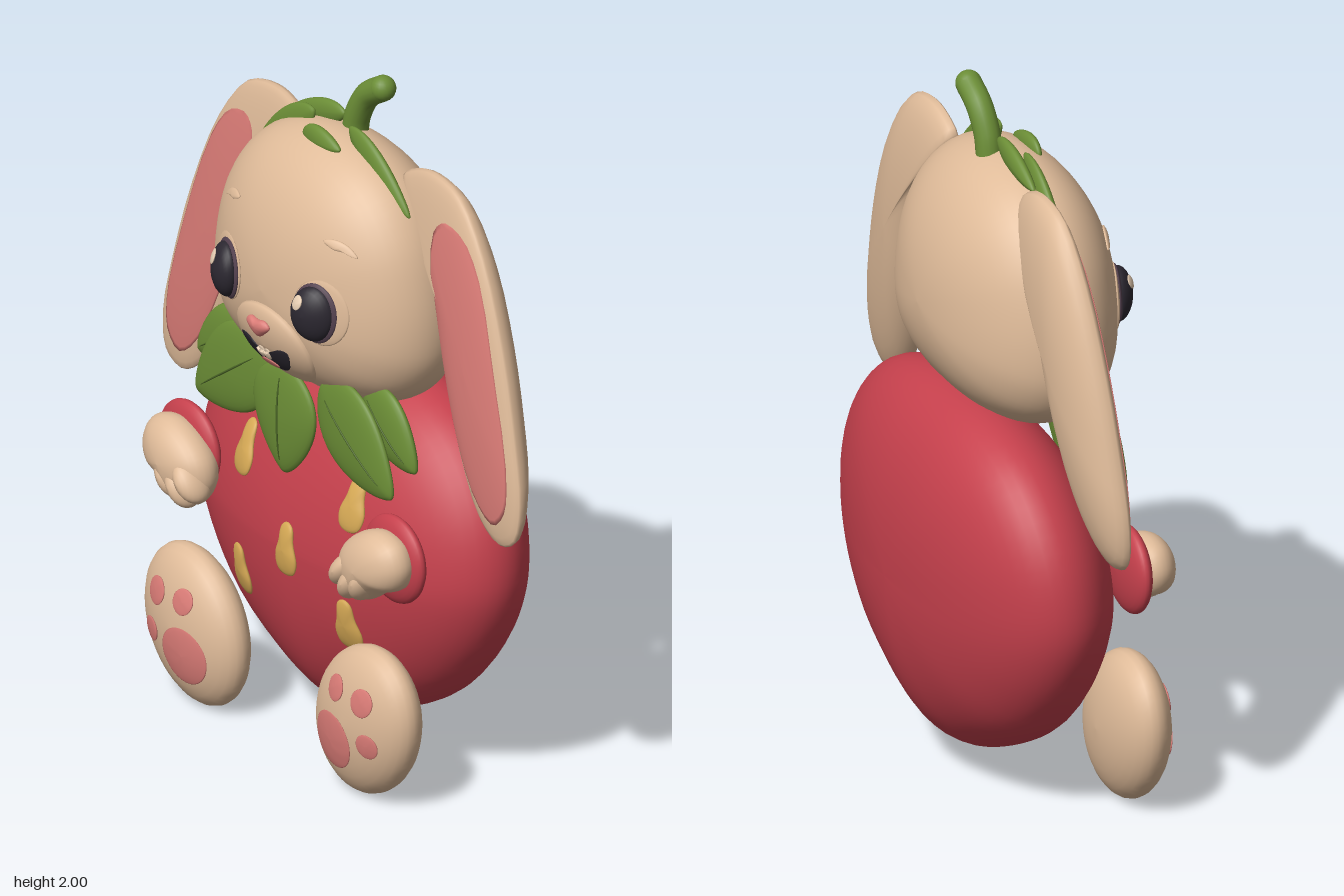
import * as THREE from 'three';

const mat = (name, color) => {
  const m = new THREE.MeshStandardMaterial({ color });
  m.name = name;
  return m;
};

export function createModel() {
  const model = new THREE.Group();
  const tan = mat('tan fur', 0xdfbb99), red = mat('berry red', 0xc5404c);
  const pink = mat('pink', 0xd97b76), green = mat('leaf green', 0x6b8d36);
  const darkGreen = mat('dark green', 0x4a6526), gold = mat('seed gold', 0xd6a955);
  const black = mat('eye black', 0x2b2730), plum = mat('iris plum', 0x54414f);
  const cream = mat('cream', 0xe6cdb2);

  const add = (name, geometry, material) => {
    const mesh = new THREE.Mesh(geometry, material);
    mesh.name = name;
    model.add(mesh);
    return mesh;
  };

  // Tilted ellipse outline
  const ell = (cx, cy, rx, ry = rx, rot = 0) => Array.from({ length: 16 }, (_, i) => {
    const a = i / 8 * Math.PI, u = rx * Math.cos(a), v = ry * Math.sin(a);
    return [cx + u * Math.cos(rot) - v * Math.sin(rot), cy + u * Math.sin(rot) + v * Math.cos(rot)];
  });
  // Broad leaf outline with a soft tip in direction rot
  const leafShape = (cx, cy, len, w, rot) => Array.from({ length: 24 }, (_, i) => {
    const a = i / 12 * Math.PI, s = Math.sin(a), c = Math.cos(a);
    const u = len * c, v = w * s * Math.pow(Math.abs(s), 0.3) * (1 - 0.3 * c);
    return [cx + u * Math.cos(rot) - v * Math.sin(rot), cy + u * Math.sin(rot) + v * Math.cos(rot)];
  });
  const mirror = (pts, s, axis = 0) => pts.map(([x, y]) => [axis + s * x, y]);

  // Pillow shape: a smooth closed outline swollen to the front and back of z = zOf(x, y)
  function puff(outline, zOf, front, back = front, rings = 16, seg = 48) {
    const curve = new THREE.CatmullRomCurve3(outline.map(([x, y]) => new THREE.Vector3(x, y, 0)), true);
    const pts = curve.getPoints(seg).slice(0, seg);
    if (THREE.ShapeUtils.area(pts) < 0) pts.reverse();
    const c = pts.reduce((s, p) => s.add(p), new THREE.Vector3()).divideScalar(seg);
    const pos = [], index = [];
    for (let k = 0; k <= rings; k++) {
      const t = k / rings * Math.PI, r = Math.sin(t), h = Math.cos(t);
      for (let j = 0; j < seg; j++) {
        const x = c.x + (pts[j].x - c.x) * r, y = c.y + (pts[j].y - c.y) * r;
        pos.push(x, y, zOf(x, y) + h * (h > 0 ? front : back));
        if (k === rings) continue;
        const a = k * seg + j, b = k * seg + (j + 1) % seg;
        index.push(a, a + seg, b + seg, a, b + seg, b);
      }
    }
    const g = new THREE.BufferGeometry();
    g.setAttribute('position', new THREE.Float32BufferAttribute(pos, 3));
    g.setIndex(index);
    g.computeVertexNormals();
    return g;
  }
  const flat = z => () => z;

  // Height of the foremost surface of some meshes, for laying details on them
  const ray = new THREE.Raycaster(), down = new THREE.Vector3(0, 0, -1);
  const on = (...meshes) => (x, y) => {
    ray.set(new THREE.Vector3(x, y, 2), down);
    const hit = ray.intersectObjects(meshes)[0];
    return hit ? hit.point.z : 0;
  };
  const decal = (name, outline, target, material, lift = 0.004, dome = 0.003) =>
    add(name, puff(outline, (x, y) => target(x, y) + lift, dome, 0.012, 12, 32), material);

  // Berry body and head: half outlines (half width, y) mirrored about x = cx
  const symmetric = (half, cx) => [...mirror(half, 1, cx), ...mirror(half.slice(1, -1).reverse(), -1, cx)];
  const bodyHalf = [[0, 0.068], [0.09, 0.082], [0.2, 0.122], [0.42, 0.245], [0.57, 0.41], [0.645, 0.56],
    [0.66, 0.67], [0.63, 0.82], [0.55, 0.95], [0.42, 1.055], [0.23, 1.115], [0, 1.13]];
  const headHalf = [[0, 1.06], [0.15, 1.068], [0.28, 1.1], [0.38, 1.16], [0.435, 1.25], [0.447, 1.35],
    [0.43, 1.48], [0.385, 1.61], [0.3, 1.72], [0.18, 1.79], [0, 1.82]];
  const body = add('body', puff(symmetric(bodyHalf, -0.03), (x, y) => -0.062 - 0.1 * Math.max(0, y - 0.6) ** 1.3,
    0.28, 0.282, 32, 72), red);
  const head = add('head', puff(symmetric(headHalf, -0.02), flat(0.03), 0.265, 0.27, 32, 72), tan);
  const onBody = on(body), onHead = on(head);

  // Golden seeds
  for (const [x, y] of [[-0.255, 0.81], [0.235, 0.81], [-0.005, 0.605], [-0.255, 0.45], [0.225, 0.45]])
    decal('seed', [[0, 0.082], [-0.022, 0.07], [-0.03, 0.025], [-0.045, -0.025], [-0.034, -0.064], [0, -0.076],
      [0.034, -0.064], [0.045, -0.025], [0.03, 0.025], [0.022, 0.07]].map(p => [p[0] + x, p[1] + y]),
      onBody, gold, 0.004, 0.014);

  const earOutline = [[0.23, 1.755], [0.29, 1.795], [0.37, 1.81], [0.49, 1.78], [0.61, 1.64], [0.72, 1.4], [0.795, 1.15],
    [0.828, 0.98], [0.808, 0.87], [0.74, 0.838], [0.655, 0.88], [0.57, 1.01], [0.49, 1.2], [0.41, 1.45],
    [0.35, 1.62], [0.27, 1.69]];
  const innerEar = [[0.42, 1.66], [0.46, 1.7], [0.54, 1.68], [0.62, 1.58], [0.715, 1.32], [0.785, 1.06], [0.78, 0.95],
    [0.73, 0.9], [0.66, 0.94], [0.57, 1.08], [0.49, 1.28], [0.43, 1.5]];
  const pawOutline = [[0.59, 0.74], [0.56, 0.8], [0.48, 0.822], [0.39, 0.79], [0.328, 0.73], [0.32, 0.66],
    [0.37, 0.595], [0.43, 0.6], [0.5, 0.645], [0.57, 0.68]];

  for (const s of [-1, 1]) {
    const side = s > 0 ? 'left' : 'right';
    const pair = pts => mirror(pts, s, -0.04);

    // Drooping ears, flatter in front
    const ear = add(side + 'Ear', puff(mirror(earOutline, s), (x, y) => 0.035 - 0.05 * (y - 0.9), 0.042, 0.1, 20), tan);
    decal(side + 'InnerEar', mirror(innerEar, s), on(ear), pink, 0.003, 0.003);

    // Feet with pads
    const foot = add(side + 'Foot', puff(pair(ell(0.397, 0.226, 0.236, 0.197, 2.1 - Math.PI / 2 + 0.45)), flat(0.203), 0.095), tan);
    const onFoot = on(foot);
    decal(side + 'FootPad', pair(ell(0.345, 0.168, 0.088, 0.083)), onFoot, pink);
    for (const [x, y, r] of [[0.355, 0.325, 0.037], [0.473, 0.319, 0.04], [0.497, 0.197, 0.036]])
      decal(side + 'ToePad', pair(ell(x, y, r)), onFoot, pink);

    // Sleeves, paws and fingers
    add(side + 'Sleeve', puff(pair(ell(0.475, 0.725, 0.135, 0.128, 0.3)), flat(0.172), 0.04), red);
    add(side + 'Paw', puff(pair(pawOutline), flat(0.22), 0.083), tan);
    [[0.45, 0.668], [0.4, 0.653], [0.362, 0.678]].forEach(([x, y], i) =>
      add(side + 'Finger', puff(pair(ell(x, y, 0.068, 0.036, 1.05 - i * 0.08)), flat(0.25), 0.054, 0.054, 12, 32), tan));

    // Eyes and brows
    const ex = s * 0.205, px = s * 0.194;
    const ring = decal(side + 'EyeRim', ell(ex, 1.4, 0.087, 0.096), onHead, tan, 0.004, 0.006);
    const iris = decal(side + 'Iris', ell(px, 1.398, 0.07, 0.088), on(head, ring), plum, 0.003, 0.01);
    const pupil = decal(side + 'Pupil', ell(px, 1.398, 0.062, 0.08), on(head, ring, iris), black, 0.003, 0.03);
    decal(side + 'EyeGlint', ell(px - 0.02, 1.435, 0.018, 0.02), on(pupil), cream, 0.003, 0.003);
    decal(side + 'Brow', mirror([[0.185, 1.604], [0.215, 1.612], [0.255, 1.602], [0.287, 1.574], [0.25, 1.584],
      [0.215, 1.588]], s), onHead, tan, 0.004, 0.006);
  }

  // Muzzle, nose and mouth
  const muzzle = decal('muzzle', ell(0.003, 1.24, 0.16, 0.124), onHead, tan, 0.006, 0.03);
  const onMuzzle = on(head, muzzle);
  decal('nose', [[0, 1.273], [0.03, 1.29], [0.05, 1.312], [0.03, 1.328], [0, 1.324], [-0.03, 1.328], [-0.05, 1.312],
    [-0.03, 1.29]], onMuzzle, pink, 0.004, 0.016);
  const mouth = decal('mouth', [[-0.104, 1.25], [-0.07, 1.252], [-0.035, 1.226], [0, 1.222], [0.035, 1.226], [0.07, 1.252],
    [0.104, 1.25], [0.088, 1.2], [0.05, 1.172], [0, 1.165], [-0.05, 1.172], [-0.088, 1.2]], onMuzzle, black);
  const onMouth = on(mouth, muzzle);
  decal('tongue', ell(0, 1.184, 0.038, 0.014), onMouth, pink);
  for (const s of [-1, 1]) decal('tooth', ell(s * 0.014, 1.218, 0.014, 0.018), onMouth, cream);

  // Leaf collar: centre, half length, half width, direction, z
  const collar = [[-0.03, 0.99, 0.165, 0.137, -Math.PI / 2, 0.205], [-0.3, 1.03, 0.2, 0.125, 3.74, 0.185],
    [0.275, 1.02, 0.2, 0.125, -0.6, 0.185], [-0.41, 1.075, 0.145, 0.085, 3.7, 0.13], [0.36, 1.07, 0.145, 0.09, -0.65, 0.13]];
  for (const [x, y, len, w, rot, z] of collar) {
    const leaf = add('collarLeaf', puff(leafShape(x, y, len, w, rot), flat(z), 0.028), green);
    decal('leafVein', ell(x, y, len * 0.75, 0.003, rot), on(leaf), darkGreen, 0.002, 0.002);
  }

  // Crown leaves and stem
  for (const [x, y, len, w, rot, z] of [[-0.15, 1.815, 0.125, 0.035, 3.4, 0], [-0.25, 1.745, 0.155, 0.045, 3.75, 0.037],
    [-0.003, 1.8, 0.085, 0.038, 0, 0.1], [0.19, 1.76, 0.165, 0.045, -0.56, 0.045]])
    add('crownLeaf', puff(leafShape(x, y, len, w, rot), flat(z), 0.02), green);
  const stemPath = new THREE.CatmullRomCurve3([[-0.015, 1.78, -0.02], [0, 1.85, -0.02], [0.04, 1.92, -0.025],
    [0.105, 1.963, -0.028]].map(p => new THREE.Vector3(...p)));
  add('stem', new THREE.TubeGeometry(stemPath, 20, 0.037, 16), green);
  add('stemTip', new THREE.SphereGeometry(0.037, 20, 14).translate(0.105, 1.963, -0.028), green);

  return model;
}
